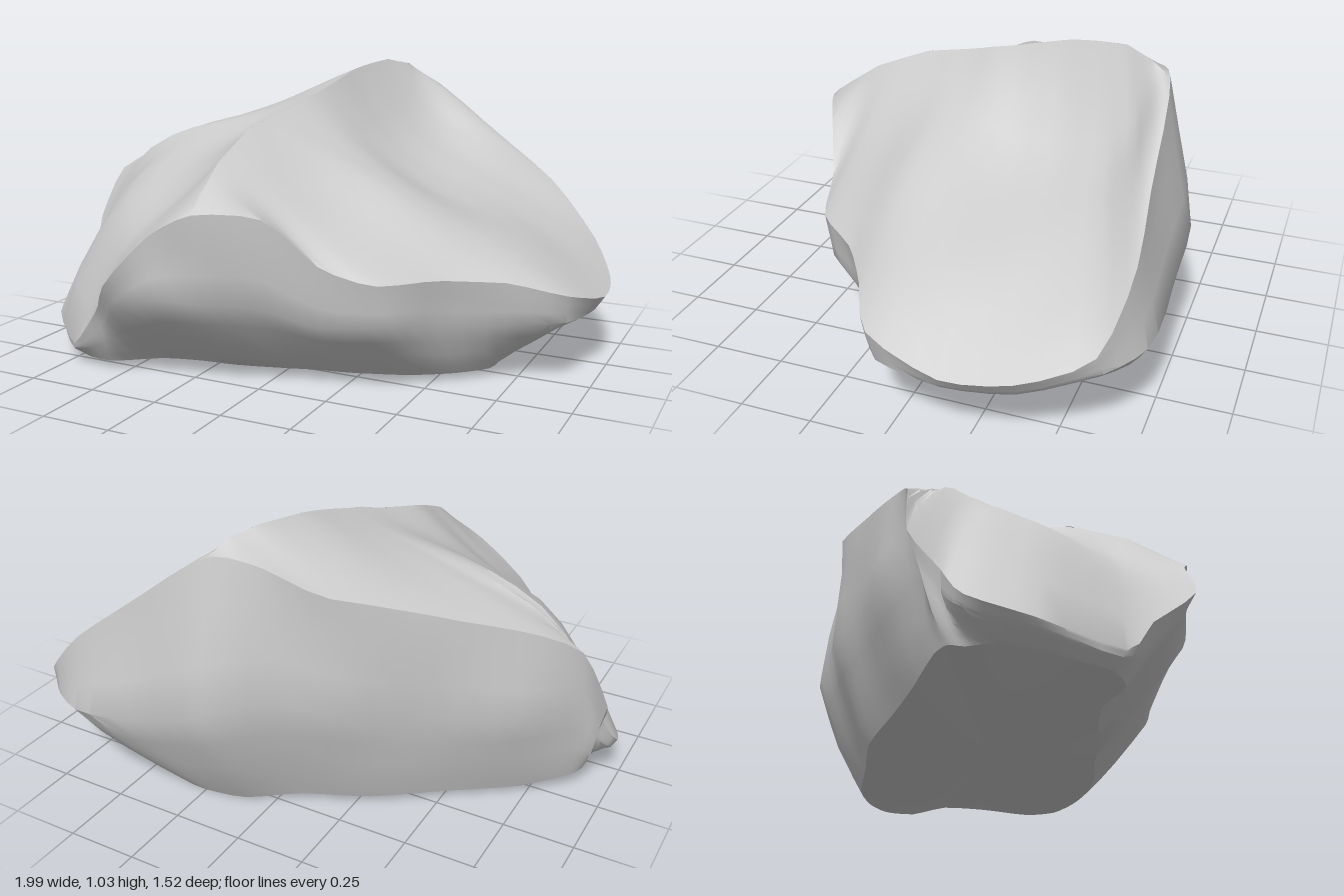
import * as THREE from 'three';
import { toCreasedNormals } from 'three/addons/utils/BufferGeometryUtils.js';

// Closed outlines round the boulder: front, then +x, back and -x.
// Rim: where the two sloping top faces break over into the sides.
const RIM = [
  [-.12, .64, .69], [.07, .62, .61], [.24, .48, .53], [.42, .42, .47], [.57, .41, .3], [.75, .4, .17],
  [.92, .34, .06], [1, .28, -.2], [.96, .29, -.43], [.86, .37, -.65], [.65, .58, -.7], [.38, .79, -.69],
  [.12, .98, -.66], [-.05, .96, -.61], [-.25, .87, -.54], [-.5, .79, -.33], [-.72, .7, -.17], [-.9, .61, -.03],
  [-1, .41, 0], [-.96, .29, .09], [-1, .18, .18], [-.93, .12, .36], [-.7, .09, .57], [-.57, .24, .64],
  [-.43, .38, .75], [-.28, .55, .71],
];
// Waist: the widest part of the side walls.
const WAIST = [
  [-.12, .33, .67], [.08, .31, .58], [.23, .26, .49], [.44, .27, .43], [.57, .25, .28], [.75, .24, .14],
  [.92, .24, .03], [.97, .23, -.2], [.92, .23, -.43], [.84, .3, -.67], [.68, .3, -.75], [.4, .36, -.765],
  [.12, .45, -.765], [-.06, .5, -.64], [-.27, .45, -.53], [-.5, .4, -.34], [-.75, .38, -.18], [-.92, .38, 0],
  [-.97, .3, .03], [-.94, .22, .09], [-.98, .15, .17], [-.9, .09, .37], [-.71, .065, .56], [-.55, .16, .61],
  [-.46, .27, .69], [-.29, .34, .69],
];
// Base: the edge of the underside, as x, z; lowest at the back right.
const BASE = [
  [-.15, .38], [.1, .31], [.25, .28], [.42, .22], [.56, .13], [.66, .03], [.66, -.08], [.54, -.22], [.47, -.36],
  [.44, -.48], [.38, -.57], [.26, -.59], [.1, -.56], [-.08, -.47], [-.3, -.37], [-.52, -.21], [-.73, -.06],
  [-.87, .05], [-.9, .1], [-.89, .15], [-.89, .24], [-.82, .4], [-.7, .52], [-.57, .54], [-.42, .44], [-.28, .4],
].map(([x, z]) => [x, x > 0 && z < -.4 ? .01 : .035 + .4 * Math.max(0, -x - .8), z]);
// Where each station meets the crest (z), and how far its slope sags (+) or swells (-).
const CREST_Z = [
  .67, .58, .5, .42, .3, .15, 0, -.15, -.3, -.44, -.53, -.57, -.59,
  -.57, -.5, -.35, -.2, -.05, .05, .12, .18, .28, .4, .5, .57, .63,
];
const SAG = [
  0, 0, 0, 0, 0, .02, .07, .12, .14, .13, .1, .04, 0,
  0, 0, -.01, -.02, -.03, -.15, -.18, -.19, -.16, -.14, -.07, -.02, 0,
];
// Crest line as z, x, y
const CREST = [[.7, -.12, .64], [.5, -.14, .77], [.3, -.14, .855], [0, -.05, .95], [-.3, 0, 1.01], [-.5, .05, 1.04], [-.6, .1, 1.02]];

const V = (a) => new THREE.Vector3(...a);
const loop = (pts) => new THREE.CatmullRomCurve3(pts.map(V), true, 'catmullrom', 0.35);

function crestAt(z) {
  const i = Math.max(1, CREST.findIndex((p) => p[0] <= z));
  const [z0, x0, y0] = CREST[i - 1], [z1, x1, y1] = CREST[i];
  const t = (z - z0) / (z1 - z0);
  return new THREE.Vector3(x0 + (x1 - x0) * t, y0 + (y1 - y0) * t, z);
}

function sample(list, u) {
  const i = Math.floor(u) % list.length;
  return THREE.MathUtils.lerp(list[i], list[(i + 1) % list.length], u - Math.floor(u));
}

// Hollows sit near the crest, swellings near the rim
function slopeOffset(sag, f) {
  return sag > 0
    ? -sag * Math.sin(Math.PI * Math.pow(f, .47)) ** 2
    : -sag * Math.sin(Math.PI * Math.pow(f, 1.7));
}

// Gentle lumps that depend only on position, fading towards the underside
function weather(p) {
  const { x, y, z } = p;
  const a = .01 * Math.min(1, y / .2);
  p.x += a * Math.sin(9 * y + 7 * z + 1) * Math.cos(6 * z - 3 * x);
  p.y += a * Math.sin(8 * x + 2) * Math.cos(9 * z + 3 * y);
  p.z += a * Math.sin(11 * x + 5 * y) * Math.cos(8 * y + 1);
  return p;
}

function boulderGeometry() {
  const n = RIM.length, cols = n * 3;
  const rim = loop(RIM), waist = loop(WAIST), base = loop(BASE);
  const centre = new THREE.Vector3(-.03, .045, -.03);
  // Bands from crest to underside, with their number of steps
  const steps = [10, 3, 4, 3];
  const rows = steps.reduce((a, b) => a + b, 0) + 1;
  const pos = [], index = [], columns = [];
  for (let i = 0; i < cols; i++) {
    const t = i / cols, u = t * n;
    const keys = [crestAt(sample(CREST_Z, u)), rim.getPoint(t), waist.getPoint(t), base.getPoint(t), centre];
    const sag = sample(SAG, u);
    const col = [keys[0].clone()];
    steps.forEach((count, k) => {
      for (let s = 1; s <= count; s++) {
        const f = s / count;
        const p = keys[k].clone().lerp(keys[k + 1], f);
        if (k === 0) p.y += slopeOffset(sag, f);
        // Round the lower wall a little
        if (k === 2) p.y -= .1 * Math.max(0, keys[2].y - .1) * Math.sin(Math.PI * f);
        col.push(p);
      }
    });
    columns.push(col.map(weather));
  }
  for (let r = 0; r < rows; r++) for (const col of columns) pos.push(...col[r].toArray());
  for (let r = 0; r < rows - 1; r++) {
    for (let i = 0; i < cols; i++) {
      const j = (i + 1) % cols;
      const a = r * cols + i, b = r * cols + j, c = a + cols, d = b + cols;
      index.push(a, c, d, a, d, b);
    }
  }
  const g = new THREE.BufferGeometry();
  g.setAttribute('position', new THREE.Float32BufferAttribute(pos, 3));
  g.setIndex(index);
  // Stand on the ground, centred
  g.computeBoundingBox();
  const b = g.boundingBox, c = b.getCenter(new THREE.Vector3());
  g.translate(-c.x, -b.min.y, -c.z);
  return toCreasedNormals(g, 0.7);
}

export function createModel() {
  const group = new THREE.Group();
  group.name = 'rock';
  const boulder = new THREE.Mesh(
    boulderGeometry(),
    new THREE.MeshStandardMaterial({ color: 0xcccccc, side: THREE.DoubleSide }),
  );
  boulder.name = 'boulder';
  group.add(boulder);
  return group;
}
